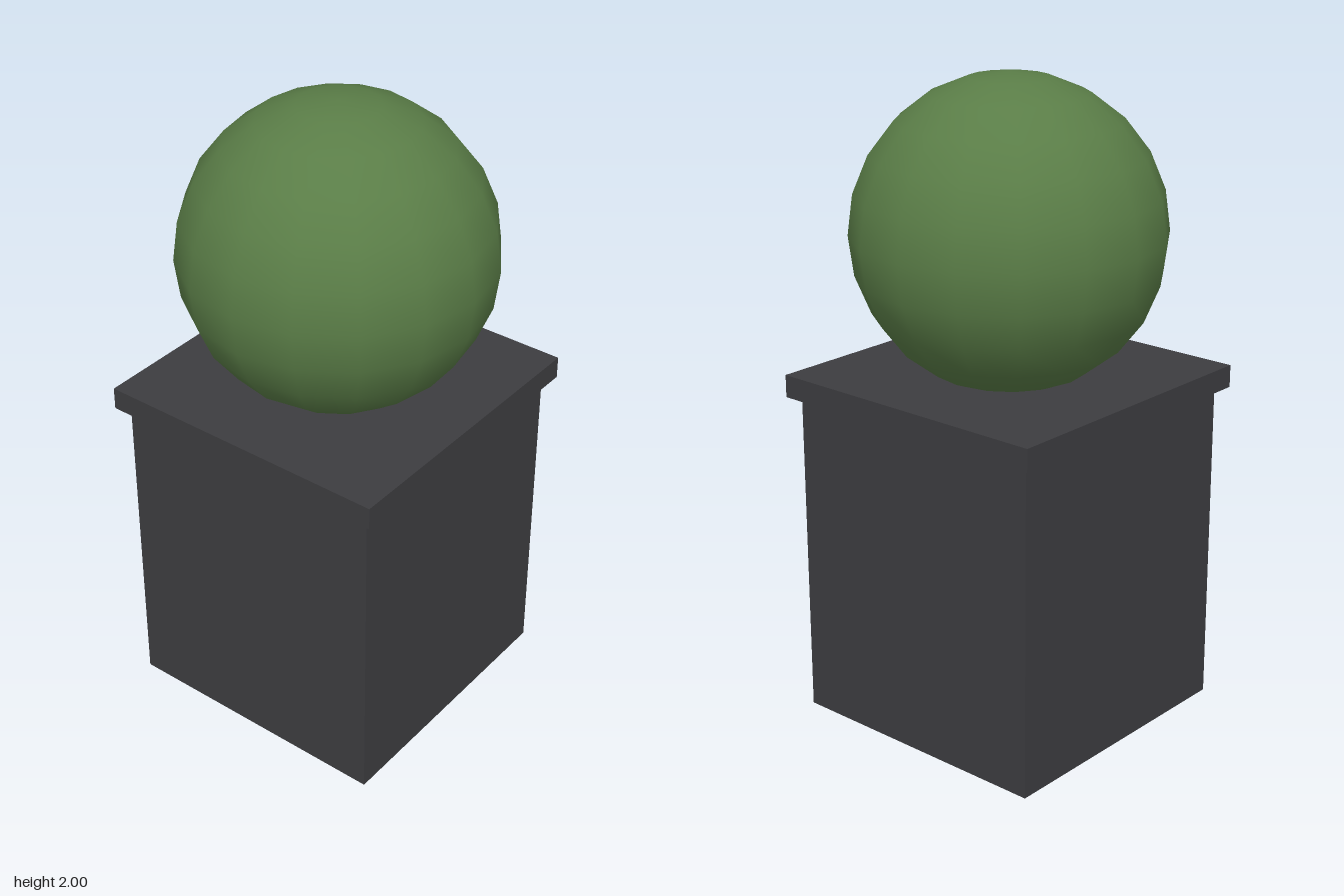
import * as THREE from 'three';

export function createModel() {
  const group = new THREE.Group();
  const stone = new THREE.MeshStandardMaterial({ color: 0x3d3d40 });
  const leaf = new THREE.MeshStandardMaterial({ color: 0x5a7d47 });

  const add = (name, geometry, material, y) => {
    const mesh = new THREE.Mesh(geometry, material);
    mesh.name = name;
    mesh.position.y = y;
    group.add(mesh);
  };

  // Square planter with an overhanging rim slab
  const bodyHeight = 1.03, rimHeight = 0.07, width = 0.95;
  add('planterBody', new THREE.BoxGeometry(0.884, bodyHeight, 0.884), stone, bodyHeight / 2);
  add('planterRim', new THREE.BoxGeometry(width, rimHeight, width), stone, bodyHeight + rimHeight / 2);

  // Clipped ball shrub, sunk slightly into the rim
  const radius = width / 2;
  add('shrubBall', new THREE.SphereGeometry(radius, 16, 12), leaf, 2 - radius);

  return group;
}
